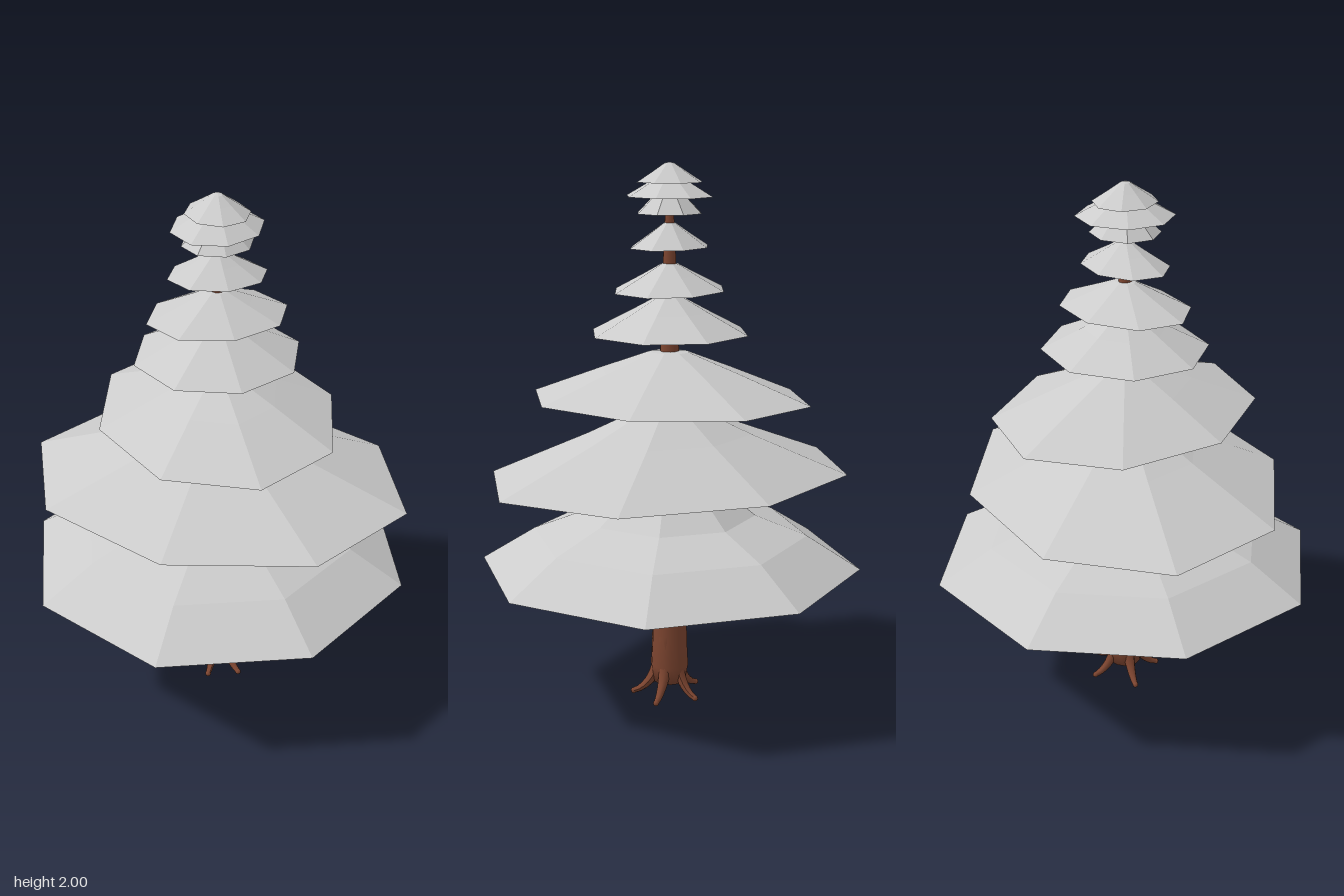
import * as THREE from 'three';

const leafMat = new THREE.MeshStandardMaterial({ color: 0xcccccc, flatShading: true, side: THREE.DoubleSide });
const barkMat = new THREE.MeshStandardMaterial({ color: 0x7d4530 });

// Open octagonal skirt: unit-radius profile [r, y], skewed so that +x maps to a and +z to b
function makeTier(name, a, b, profile, tilt = 0) {
  const geo = new THREE.LatheGeometry(profile.map(([r, y]) => new THREE.Vector2(r, y)), 8);
  geo.applyMatrix4(new THREE.Matrix4().makeBasis(
    new THREE.Vector3(a[0], tilt, a[1]),
    new THREE.Vector3(0, 1, 0),
    new THREE.Vector3(b[0], 0, b[1])
  ));
  geo.computeVertexNormals();
  const mesh = new THREE.Mesh(geo, leafMat);
  mesh.name = name;
  return mesh;
}

// Tapered root: a tube whose rings are shrunk or grown around its path
function makeRoot(x, z) {
  const at = (f, y) => new THREE.Vector3(x * f, y, z * f);
  const curve = new THREE.CatmullRomCurve3([at(0.22, 0.24), at(0.3, 0.13), at(0.5, 0.065), at(0.78, 0.025), at(1, 0.012)]);
  const rings = 12, sides = 8;
  const geo = new THREE.TubeGeometry(curve, rings, 1, sides);
  const pos = geo.attributes.position;
  const v = new THREE.Vector3();
  for (let i = 0; i < pos.count; i++) {
    const t = Math.floor(i / (sides + 1)) / rings;
    const c = curve.getPointAt(t);
    const radius = 0.036 * (1 - t) + 0.01 * t;
    v.fromBufferAttribute(pos, i).sub(c).multiplyScalar(radius).add(c);
    pos.setXYZ(i, v.x, Math.max(v.y, 0), v.z);
  }
  geo.computeVertexNormals();
  const root = new THREE.Group();
  root.name = 'root';
  const tip = new THREE.Mesh(new THREE.SphereGeometry(0.011, 8, 6), barkMat);
  tip.position.copy(at(1, 0.012));
  tip.name = 'rootTip';
  const body = new THREE.Mesh(geo, barkMat);
  body.name = 'rootBody';
  root.add(body, tip);
  return root;
}

export function createModel() {
  const tree = new THREE.Group();
  tree.name = 'pineTree';

  // Trunk, tapering to the top
  const trunkProfile = [
    [0, 0.05], [0.06, 0.055], [0.071, 0.12], [0.066, 0.22], [0.063, 0.5], [0.045, 0.9],
    [0.035, 1.3], [0.026, 1.6], [0.016, 1.82], [0, 1.92]
  ].map(([r, y]) => new THREE.Vector2(r, y));
  const trunk = new THREE.Mesh(new THREE.LatheGeometry(trunkProfile, 14), barkMat);
  trunk.name = 'trunk';
  tree.add(trunk);

  // Five spreading roots
  for (const [x, z] of [[0.02, 0.135], [0.14, 0.035], [0.075, -0.105], [-0.095, -0.09], [-0.09, 0.09]]) {
    tree.add(makeRoot(x, z));
  }

  // Large lower skirts
  tree.add(
    makeTier('lowestBranches', [0.725, 0], [0, 0.71],
      [[1, 0.517], [0.72, 0.64], [0.45, 0.713], [0.17, 0.87], [0, 0.93]], -0.007),
    makeTier('lowerBranches', [0.65, 0.1], [0.04, 0.655],
      [[1, 0.865], [0.46, 1.015], [0.14, 1.115], [0, 1.13]]),
    makeTier('middleBranches', [0.43, 0.09], [-0.11, 0.52],
      [[1, 1.148], [0.5, 1.25], [0.14, 1.32], [0, 1.327]])
  );

  // Small upper skirts: rim vectors, rim height, top height
  const upper = [
    [[0.3, 0.06], [-0.06, 0.29], 1.39, 1.53],
    [[0.253, 0.05], [-0.04, 0.2], 1.545, 1.645],
    [[0.172, 0.045], [-0.03, 0.137], 1.7, 1.79],
    [[0.125, 0.03], [-0.03, 0.118], 1.82, 1.93],
    [[0.166, 0.03], [-0.045, 0.16], 1.88, 1.965],
    [[0.106, 0.043], [-0.04, 0.115], 1.93, 2]
  ];
  for (const [a, b, y0, y1] of upper) {
    const h = y1 - y0;
    tree.add(makeTier('upperBranches', a, b, [[1, y0], [0.5, y0 + 0.55 * h], [0.16, y0 + 0.94 * h], [0, y1]]));
  }
  return tree;
}
